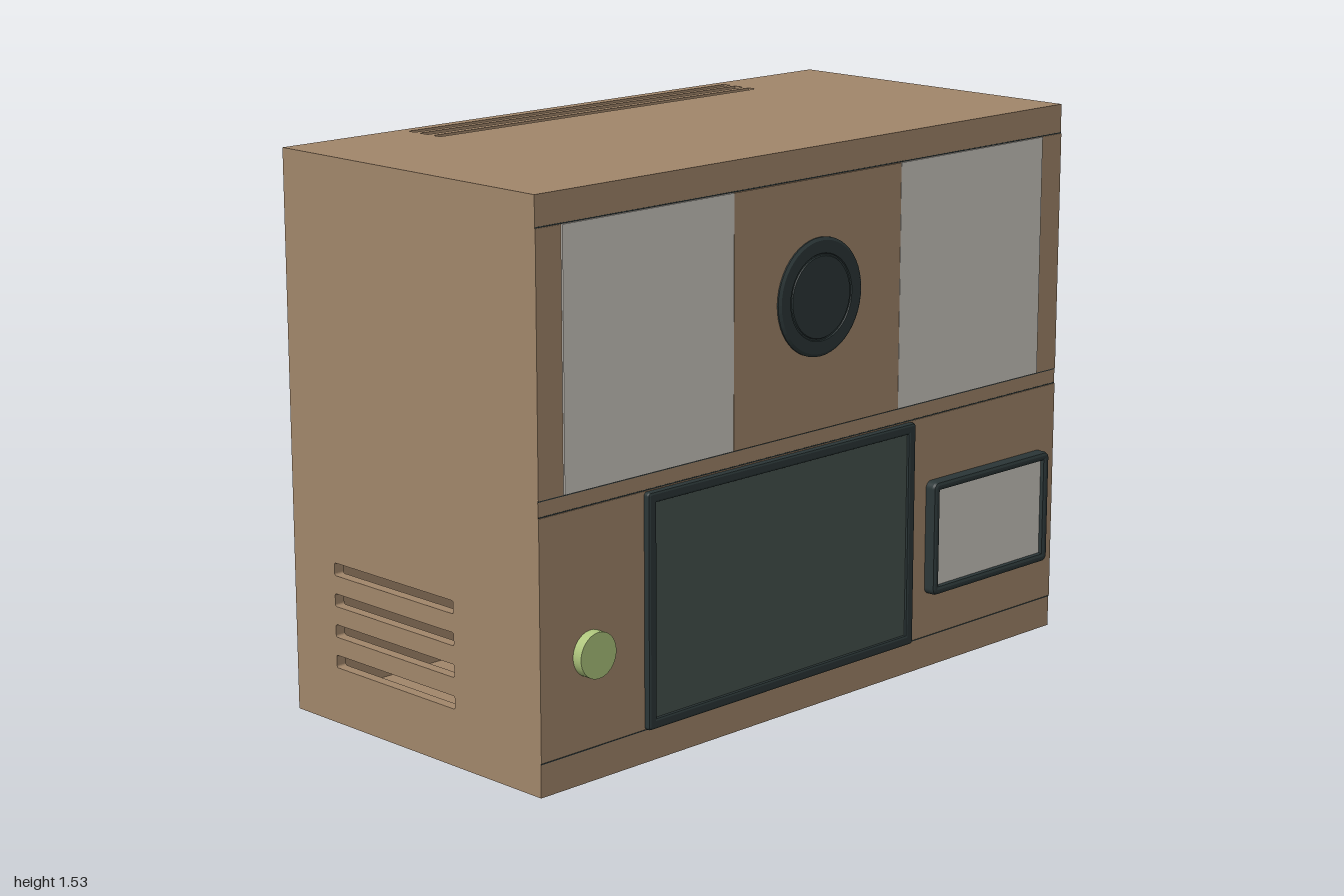
import * as THREE from 'three';

const mat = (name, color) => new THREE.MeshStandardMaterial({ name, color });

export function createModel() {
  const brown = mat('woodBrown', 0xa1866a);
  const dark = mat('darkTrim', 0x2b3637);
  const glass = mat('screenGlass', 0x46524e);
  const pale = mat('paleCloth', 0xcbc7c0);
  const green = mat('buttonGreen', 0xadc47c);
  const steel = mat('innerSteel', 0x9ca1a1);

  const group = new THREE.Group();
  const W = 1, H = 1.53, ZB = -0.5, ZF = 0.465, T = 0.03;

  const add = (name, geo, m, x = 0, y = 0, z = 0) => {
    const mesh = new THREE.Mesh(geo, m);
    mesh.name = name;
    mesh.position.set(x, y, z);
    group.add(mesh);
    return mesh;
  };
  // Box given by its limits
  const box = (name, m, x0, x1, y0, y1, z0, z1) =>
    add(name, new THREE.BoxGeometry(x1 - x0, y1 - y0, z1 - z0), m,
      (x0 + x1) / 2, (y0 + y1) / 2, (z0 + z1) / 2);
  // Rectangle outline with rounded corners
  const rect = (x0, x1, y0, y1, r = 0, C = THREE.Shape) => {
    const s = new C();
    if (!r) return s.moveTo(x0, y0).lineTo(x1, y0).lineTo(x1, y1).lineTo(x0, y1).closePath();
    s.absarc(x1 - r, y0 + r, r, -Math.PI / 2, 0);
    s.absarc(x1 - r, y1 - r, r, 0, Math.PI / 2);
    s.absarc(x0 + r, y1 - r, r, Math.PI / 2, Math.PI);
    s.absarc(x0 + r, y0 + r, r, Math.PI, Math.PI * 1.5);
    return s.closePath();
  };
  const slab = (shape) => new THREE.ExtrudeGeometry(shape, { depth: T, bevelEnabled: false, curveSegments: 4 });

  // Cabinet sides with four vent slots each
  const side = rect(ZB, ZF, 0, H);
  for (let i = 0; i < 4; i++) {
    const y = 0.155 + i * 0.085;
    side.holes.push(rect(-0.333, 0.142, y, y + 0.035, 0.006, THREE.Path));
  }
  const sideGeo = slab(side).rotateY(-Math.PI / 2);
  add('leftSide', sideGeo, brown, W);
  add('rightSide', sideGeo, brown, -W + T);

  // Cabinet top with three long slots
  const top = rect(-W + T, W - T, ZB + T, ZF - T);
  for (const [z0, z1] of [[-0.469, -0.443], [-0.423, -0.391], [-0.369, -0.341]])
    top.holes.push(rect(-0.6, 0.6, z0, z1, 0, THREE.Path));
  add('topPanel', slab(top).rotateX(Math.PI / 2), brown, 0, H, 0);

  // Remaining cabinet walls
  box('bottomPanel', brown, -W + T, W - T, 0, T, ZB + T, ZF - T);
  box('backPanel', brown, -W + T, W - T, 0, H, ZB, ZB + T);
  box('frontPanel', brown, -W + T, W - T, 0, H, ZF - T, ZF);

  // Parts seen through the vents
  box('innerUnit', steel, -0.5, 0.5, T, 0.3, -0.14, 0.14);
  box('innerRail', steel, -0.7, 0.7, 1.4, 1.44, -0.427, -0.387);
  for (const s of [-1, 1])
    box('railBracket', dark, s * 0.6 - 0.11, s * 0.6 + 0.11, 1.32, 1.39, -0.46, -0.35);

  // Front fascia: thin plates with shadow gaps between the bands
  const lower = 0.467, upper = 0.47;
  box('lowerFascia', brown, -W, W, 0.092, 0.725, ZF, lower);
  box('centrePanel', brown, -0.319, 0.319, 0.77, 1.447, ZF, upper);
  for (const s of [-1, 1]) {
    box('speakerCloth', pale, s * 0.617 - 0.297, s * 0.617 + 0.297, 0.77, 1.447, ZF, upper);
    box('fasciaPost', brown, s * 0.958 - 0.042, s * 0.958 + 0.042, 0.77, 1.447, ZF, lower);
  }
  for (const y of [0.089, 0.727, 0.768, 1.449])
    box('bandJoint', dark, -W, W, y - 0.0015, y + 0.0015, ZF - 0.004, ZF + 0.0006);

  // Round dial: stepped, chamfered disc
  const dial = new THREE.LatheGeometry([
    [0.16, 0], [0.16, 0.005], [0.152, 0.01], [0.118, 0.01], [0.116, 0.007],
    [0.112, 0.007], [0.11, 0.01], [0, 0.01],
  ].map(([r, y]) => new THREE.Vector2(r, y)), 48).rotateX(Math.PI / 2);
  const dialMat = dark;
  const flat = dial.toNonIndexed();
  flat.computeVertexNormals();
  add('dial', flat, dialMat, 0, 1.13, upper - 0.001);

  // Chamfered bezel with an inset face
  const bezel = (name, x0, x1, y0, y1, rim, r, b, zTop, face, zFace) => {
    const s = rect(x0, x1, y0, y1, r);
    s.holes.push(rect(x0 + rim, x1 - rim, y0 + rim, y1 - rim, 0, THREE.Path));
    const depth = zTop - ZF;
    const geo = new THREE.ExtrudeGeometry(s, {
      depth, bevelThickness: b, bevelSize: b, bevelOffset: -b, bevelSegments: 2, curveSegments: 5,
    });
    add(name + 'Bezel', geo, dark, 0, 0, zTop - depth - b);
    box(name + 'Face', face, x0 + rim / 2, x1 - rim / 2, y0 + rim / 2, y1 - rim / 2, ZF, zFace);
  };
  bezel('screen', -0.64, 0.382, 0.09, 0.723, 0.03, 0.01, 0.007, 0.484, glass, 0.477);
  bezel('sidePanel', 0.446, 0.946, 0.215, 0.541, 0.026, 0.02, 0.01, 0.5, pale, 0.488);

  // Push button
  add('button', new THREE.CylinderGeometry(0.061, 0.061, 0.03, 40).rotateX(Math.PI / 2),
    green, -0.828, 0.342, 0.481);

  return group;
}
